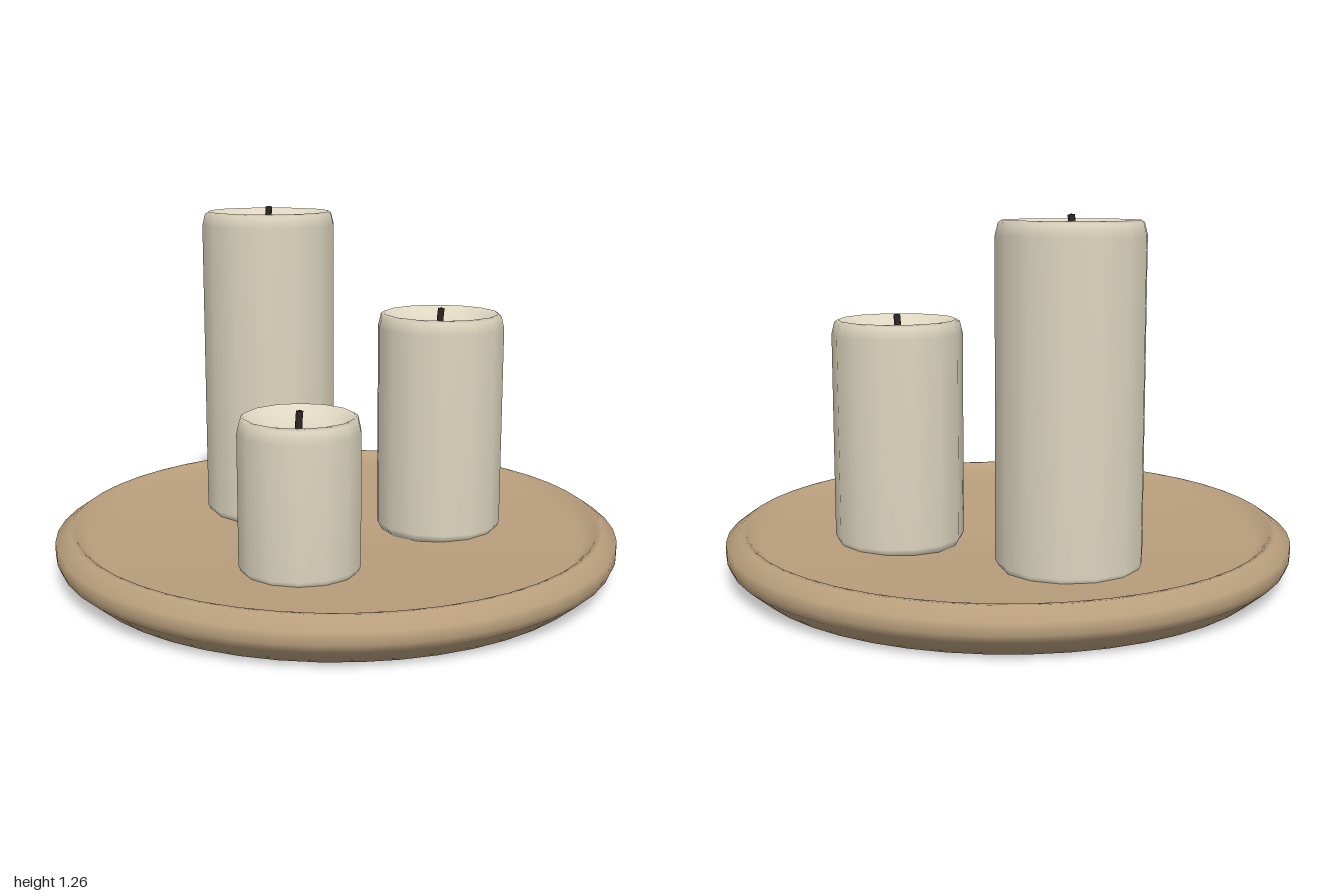
import * as THREE from 'three';

const wood = new THREE.MeshStandardMaterial({ color: 0xb89e7c });
wood.name = 'tan wood';
const wax = new THREE.MeshStandardMaterial({ color: 0xded6c0 });
wax.name = 'cream wax';
const char = new THREE.MeshStandardMaterial({ color: 0x2e2624 });
char.name = 'charred wick';

// Smooth turned solid from [radius, height] pairs, listed from the base upwards
function lathe(profile, sides, material, name) {
  const points = profile.map(([r, y]) => new THREE.Vector2(r, y));
  const mesh = new THREE.Mesh(new THREE.LatheGeometry(points, sides), material);
  mesh.name = name;
  return mesh;
}

// Candle with a rounded rim, a melted hollow and a slightly bent wick
function candle(name, x, z, radius, top) {
  const base = 0.09;
  const group = new THREE.Group();
  group.name = name;
  group.position.set(x, 0, z);
  group.add(lathe([
    [0, base], [radius * 0.93, base], [radius, base + 0.03],
    [radius, top - 0.05], [radius - 0.01, top - 0.008], [radius - 0.022, top],
    [radius * 0.8, top - 0.025], [radius * 0.6, top - 0.05], [0, top - 0.068],
  ], 14, wax, 'waxBody'));

  const path = new THREE.CatmullRomCurve3([
    new THREE.Vector3(0, top - 0.08, 0),
    new THREE.Vector3(-0.002, top - 0.03, 0),
    new THREE.Vector3(0.002, top + 0.017, 0),
  ]);
  const wick = new THREE.Mesh(new THREE.TubeGeometry(path, 4, 0.012, 6), char);
  wick.name = 'wick';
  const tip = new THREE.Mesh(new THREE.SphereGeometry(0.0125, 6, 4), char);
  tip.name = 'wickTip';
  tip.position.set(0.002, top + 0.007, 0);
  group.add(wick, tip);
  return group;
}

export function createModel() {
  const model = new THREE.Group();
  model.name = 'candleTray';

  // Round shallow dish with a soft rim
  model.add(lathe([
    [0, 0], [0.92, 0], [0.99, 0.06], [1, 0.085], [1, 0.125],
    [0.95, 0.16], [0.93, 0.158], [0.88, 0.115], [0, 0.08],
  ], 48, wood, 'dish'));

  model.add(
    candle('tallCandle', -0.365, -0.18, 0.248, 1.24),
    candle('mediumCandle', 0.297, -0.253, 0.229, 0.89),
    candle('shortCandle', 0.057, 0.397, 0.208, 0.62),
  );
  return model;
}
